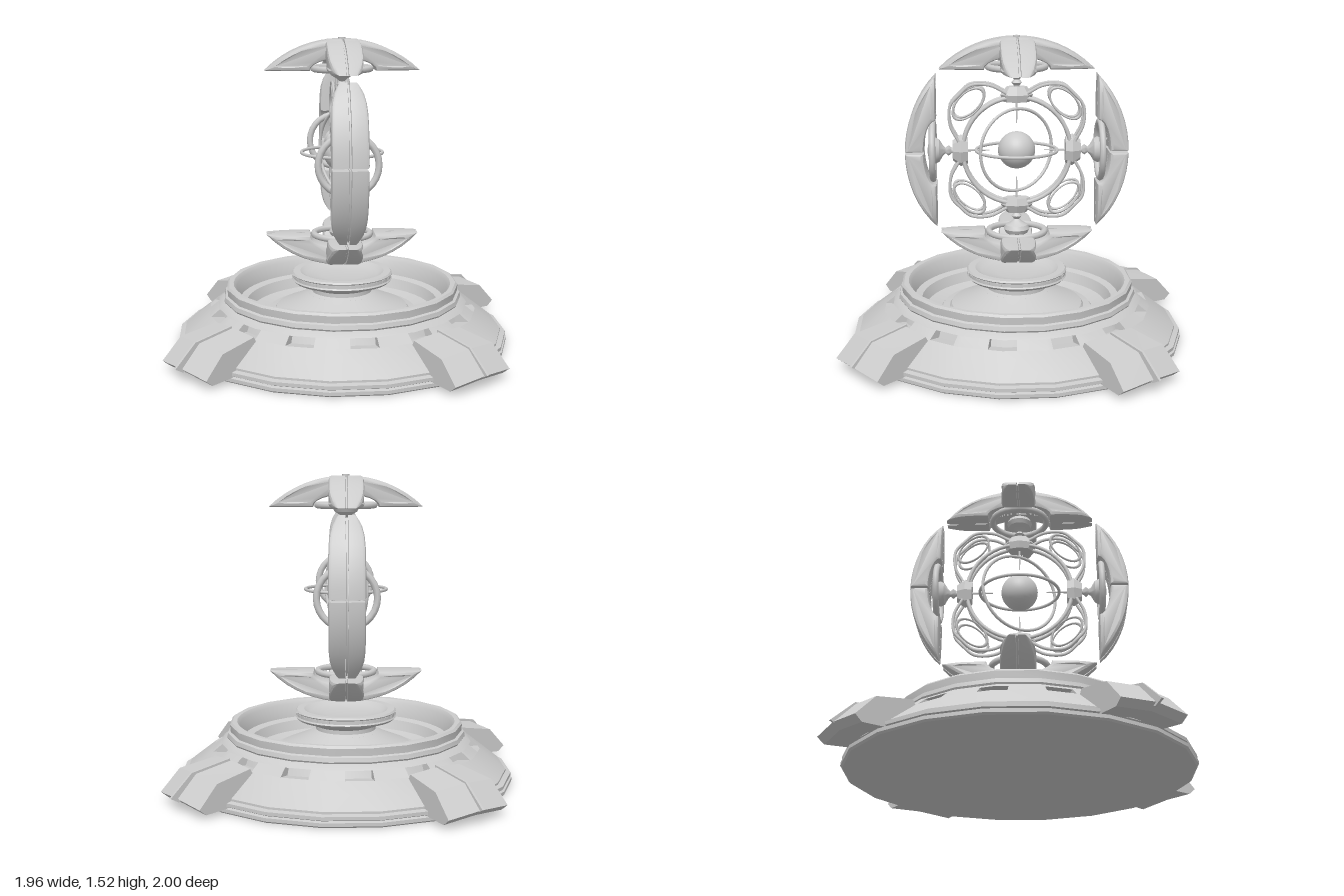
import * as THREE from 'three';
import { toCreasedNormals } from 'three/addons/utils/BufferGeometryUtils.js';

const grey = new THREE.MeshStandardMaterial({ color: 0xcccccc });
const greyBoth = new THREE.MeshStandardMaterial({ color: 0xcccccc, side: THREE.DoubleSide });
const rad = THREE.MathUtils.degToRad;
const STEP = (2 * Math.PI) / 20;

function add(parent, name, geometry, material = grey) {
  const mesh = new THREE.Mesh(geometry, material);
  mesh.name = name;
  parent.add(mesh);
  return mesh;
}

function addGroup(parent, name) {
  const group = new THREE.Group();
  group.name = name;
  parent.add(group);
  return group;
}

// Point at any angle on a 20-sided ring whose flats face the axes
function ringPoint([r, y], a) {
  const k = r / Math.cos(a - Math.round(a / STEP) * STEP);
  return [k * Math.sin(a), y, k * Math.cos(a)];
}

// Sweeps a profile around y between two angles, optionally closing both ends
function band(profile, a0 = 0, a1 = 2 * Math.PI, capped = false) {
  const angles = [a0];
  for (let a = (Math.floor(a0 / STEP - 0.5) + 1.5) * STEP; a < a1 - 1e-4; a += STEP) {
    if (a > a0 + 1e-4) angles.push(a);
  }
  angles.push(a1);
  const pos = [];
  for (let j = 0; j < angles.length - 1; j++) {
    for (let i = 0; i < profile.length - 1; i++) {
      const a = ringPoint(profile[i], angles[j]), b = ringPoint(profile[i], angles[j + 1]);
      const c = ringPoint(profile[i + 1], angles[j]), d = ringPoint(profile[i + 1], angles[j + 1]);
      pos.push(...a, ...b, ...c, ...b, ...d, ...c);
    }
  }
  if (capped) {
    for (const t of [a0, a1]) {
      const [p, q, r, s] = profile.map((v) => ringPoint(v, t));
      pos.push(...p, ...q, ...r, ...p, ...r, ...s);
    }
  }
  const g = new THREE.BufferGeometry();
  g.setAttribute('position', new THREE.Float32BufferAttribute(pos, 3));
  return toCreasedNormals(g, 0.4);
}

function lathe(points, segments) {
  const g = new THREE.LatheGeometry(points.map(([x, y]) => new THREE.Vector2(x, y)), segments);
  return toCreasedNormals(g, 0.5);
}

function buildBase(root) {
  const base = addGroup(root, 'base');
  // Stepped foot and lower slope
  add(base, 'foot', band([[0, 0], [0.81, 0], [0.82, 0.008], [0.82, 0.024], [0.803, 0.028],
    [0.815, 0.034], [0.815, 0.05], [0.79, 0.055], [0.79, 0.065], [0.663, 0.165]]));
  // Upper slope and rim
  add(base, 'rim', band([[0.619, 0.2], [0.6, 0.215], [0.585, 0.222], [0.59, 0.23], [0.585, 0.25],
    [0.572, 0.255], [0.575, 0.29], [0.565, 0.3], [0.545, 0.3]]));
  // Stepped bowl with a central mound
  add(base, 'bowl', lathe([[0.56, 0.299], [0.545, 0.298], [0.53, 0.28], [0.515, 0.21], [0.48, 0.2],
    [0.46, 0.15], [0.39, 0.13], [0.375, 0.15], [0.34, 0.155], [0.33, 0.17], [0.22, 0.215], [0.17, 0.24]], 48));
  // Slope band with fourteen recessed windows
  const sector = (2 * Math.PI) / 14, half = rad(5.7);
  for (let i = 0; i < 14; i++) {
    const a = rad(6.3) + i * sector;
    add(base, 'slopePanel', band([[0.663, 0.165], [0.619, 0.2]], a + half, a + sector - half));
    add(base, 'windowRecess', band([[0.663, 0.165], [0.6, 0.158], [0.585, 0.195], [0.619, 0.2]],
      a - half, a + half, true), greyBoth);
  }
  // Pedestal with a studded rim
  add(base, 'pedestal', lathe([[0.17, 0.24], [0.15, 0.25], [0.15, 0.27], [0.2, 0.29], [0.24, 0.303],
    [0.252, 0.315], [0.247, 0.322], [0.247, 0.34], [0.252, 0.345], [0.245, 0.353], [0.21, 0.353],
    [0.18, 0.335], [0.1, 0.325], [0, 0.322]], 32));
  for (let i = 0; i < 24; i++) {
    const stud = add(base, 'pedestalStud', new THREE.BoxGeometry(0.03, 0.012, 0.012));
    const a = (i / 24) * 2 * Math.PI;
    stud.position.set(0.243 * Math.sin(a), 0.331, 0.243 * Math.cos(a));
    stud.rotation.y = a;
  }
}

// Four flared, ridged legs, each with a thin keel
function buildLegs(root) {
  const slab = (points, depth, steps) => new THREE.ExtrudeGeometry(
    new THREE.Shape(points.map(([x, y]) => new THREE.Vector2(x, y))),
    { depth, steps, bevelEnabled: false }).translate(0, 0, -depth / 2);
  const body = slab([[0.66, 0.045], [0.93, 0.033], [0.965, 0.062], [0.868, 0.163], [0.68, 0.196], [0.66, 0.16]], 2, 2);
  const p = body.attributes.position;
  for (let i = 0; i < p.count; i++) {
    const r = p.getX(i), side = p.getZ(i), drop = Math.abs(side) * 0.013;
    const halfWidth = THREE.MathUtils.mapLinear(r, 0.66, 0.965, 0.148, 0.18);
    p.setXYZ(i, r - drop, p.getY(i) - drop, side * halfWidth);
  }
  const bodyGeometry = toCreasedNormals(body, 0.05);
  const keel = slab([[0.66, 0.1], [0.95, 0.045], [0.99, 0.068], [0.88, 0.17], [0.68, 0.205]], 0.012, 1);
  for (let i = 0; i < 4; i++) {
    const leg = addGroup(root, 'leg');
    leg.rotation.y = (i * Math.PI) / 2;
    add(leg, 'legBody', bodyGeometry);
    add(leg, 'legKeel', keel).scale.x = i % 2 ? 1.01 : 0.99;
  }
}

// Part of an armour segment between two depths: outer arc, flat chord and a
// round bite, with rounded tips
function armourGeometry(outer, zMin, zMax) {
  const chord = 0.395, bite = 0.16, biteDepth = 0.06, seam = 0.006, half = 0.085, bevel = 0.016;
  const end = Math.acos(chord / outer);
  const shape = new THREE.Shape();
  shape.moveTo(chord + biteDepth, seam - bevel / 2);
  for (let i = 0; i <= 8; i++) {
    const a = THREE.MathUtils.lerp((seam - bevel / 2) / outer, end, i / 8);
    shape.lineTo(outer * Math.cos(a), outer * Math.sin(a));
  }
  for (const t of [0.33, 0.29, 0.24]) shape.lineTo(chord, t);
  for (let i = 0; i < 6; i++) {
    const a = (i / 6) * Math.PI / 2;
    shape.lineTo(chord + biteDepth * Math.sin(a), bite * Math.cos(a));
  }
  const g = new THREE.ExtrudeGeometry(shape, {
    depth: 2 * (half - bevel), bevelThickness: bevel, bevelSize: bevel, bevelOffset: -bevel, bevelSegments: 2 });
  g.translate(0, 0, bevel - half);
  const p = g.attributes.position;
  for (let i = 0; i < p.count; i++) {
    const taper = 1 - 0.45 * Math.pow(Math.min(Math.abs(p.getY(i)) / 0.365, 1), 8);
    p.setY(i, Math.max(p.getY(i), seam));
    p.setZ(i, THREE.MathUtils.clamp(p.getZ(i) * taper, zMin, zMax));
  }
  return toCreasedNormals(g, 0.6);
}

function buildOrb(root) {
  const orb = addGroup(root, 'orb');
  orb.position.y = 0.955;
  orb.rotation.y = -rad(37);

  add(orb, 'core', new THREE.SphereGeometry(0.092, 32, 20));
  // Gimbal rings and main frame rings
  add(orb, 'levelRing', new THREE.TorusGeometry(0.2, 0.008, 8, 48)).rotation.x = Math.PI / 2;
  add(orb, 'uprightRing', new THREE.TorusGeometry(0.205, 0.008, 8, 48)).rotation.y = rad(29);
  for (const z of [-0.025, 0.025]) {
    add(orb, 'frameRing', new THREE.TorusGeometry(0.265, 0.01, 8, 48)).position.z = z;
  }

  // Two shells either side of a thin central web
  const armour = [armourGeometry(0.546, 0.006, 1), armourGeometry(0.546, -1, -0.006),
    armourGeometry(0.538, -0.004, 0.004)];
  const armourSegment = (turnY, turnZ, lift) => {
    const segment = addGroup(orb, 'armourSegment');
    segment.rotation.set(0, turnY, turnZ, 'YXZ');
    segment.position.y = lift * Math.sin(turnZ);
    for (const flip of [0, Math.PI]) {
      for (const g of armour) add(segment, 'armourPlate', g).rotation.x = flip;
    }
  };

  // Node, stalk, cup and ring on each of the four axes
  const node = toCreasedNormals(new THREE.CylinderGeometry(0.05, 0.08, 0.04, 8), 0.3);
  const nodeFoot = toCreasedNormals(new THREE.CylinderGeometry(0.08, 0.065, 0.035, 8), 0.3);
  const cup = lathe([[0, 0.3], [0.014, 0.305], [0.014, 0.32], [0.026, 0.335], [0.014, 0.35],
    [0.025, 0.362], [0.055, 0.38], [0.065, 0.4], [0.055, 0.42], [0.03, 0.435], [0, 0.44]], 20);
  const loopPath = new THREE.CatmullRomCurve3([[0.05, 0.285], [0.13, 0.325], [0.225, 0.325], [0.28, 0.28],
    [0.325, 0.225], [0.325, 0.13], [0.285, 0.05]].map(([x, y]) => new THREE.Vector3(x, y, 0)));
  const strut = new THREE.TubeGeometry(loopPath, 28, 0.008, 6);
  const loop = new THREE.TorusGeometry(0.095, 0.008, 6, 28).scale(0.55, 1, 1).rotateZ(Math.PI / 4);

  for (let i = 0; i < 4; i++) {
    const turn = (i * Math.PI) / 2;
    armourSegment(0, turn, 0.01);
    if (i % 2) armourSegment(Math.PI / 2, turn, 0.01);

    const arm = addGroup(orb, 'axisArm');
    arm.rotation.z = turn;
    for (const [name, geometry, y] of [['node', node, 0.295], ['nodeFoot', nodeFoot, 0.2575]]) {
      const part = add(arm, name, geometry);
      part.position.y = y;
      part.scale.z = 0.65;
    }
    add(arm, 'cup', cup);
    const ring = add(arm, 'cupRing', new THREE.TorusGeometry(0.14, 0.016, 8, 28));
    ring.position.y = 0.412;
    ring.rotation.x = Math.PI / 2;
    add(arm, 'pin', new THREE.CylinderGeometry(0.006, 0.003, 0.11, 6)).position.y = 0.19;
    // Curved struts bridging neighbouring nodes
    for (const z of [-0.035, 0.035]) {
      add(arm, 'strut', strut).position.z = z;
      add(arm, 'strutLoop', loop).position.set(0.235, 0.235, z);
    }
  }
  // Small caps where the crossed segments meet
  for (const s of [-1, 1]) {
    add(orb, 'poleCap', new THREE.CylinderGeometry(0.018, 0.018, 0.03, 10)).position.y = s * 0.548;
  }
}

export function createModel() {
  const model = new THREE.Group();
  model.name = 'orbOnPedestal';
  buildBase(model);
  buildLegs(model);
  buildOrb(model);
  return model;
}
